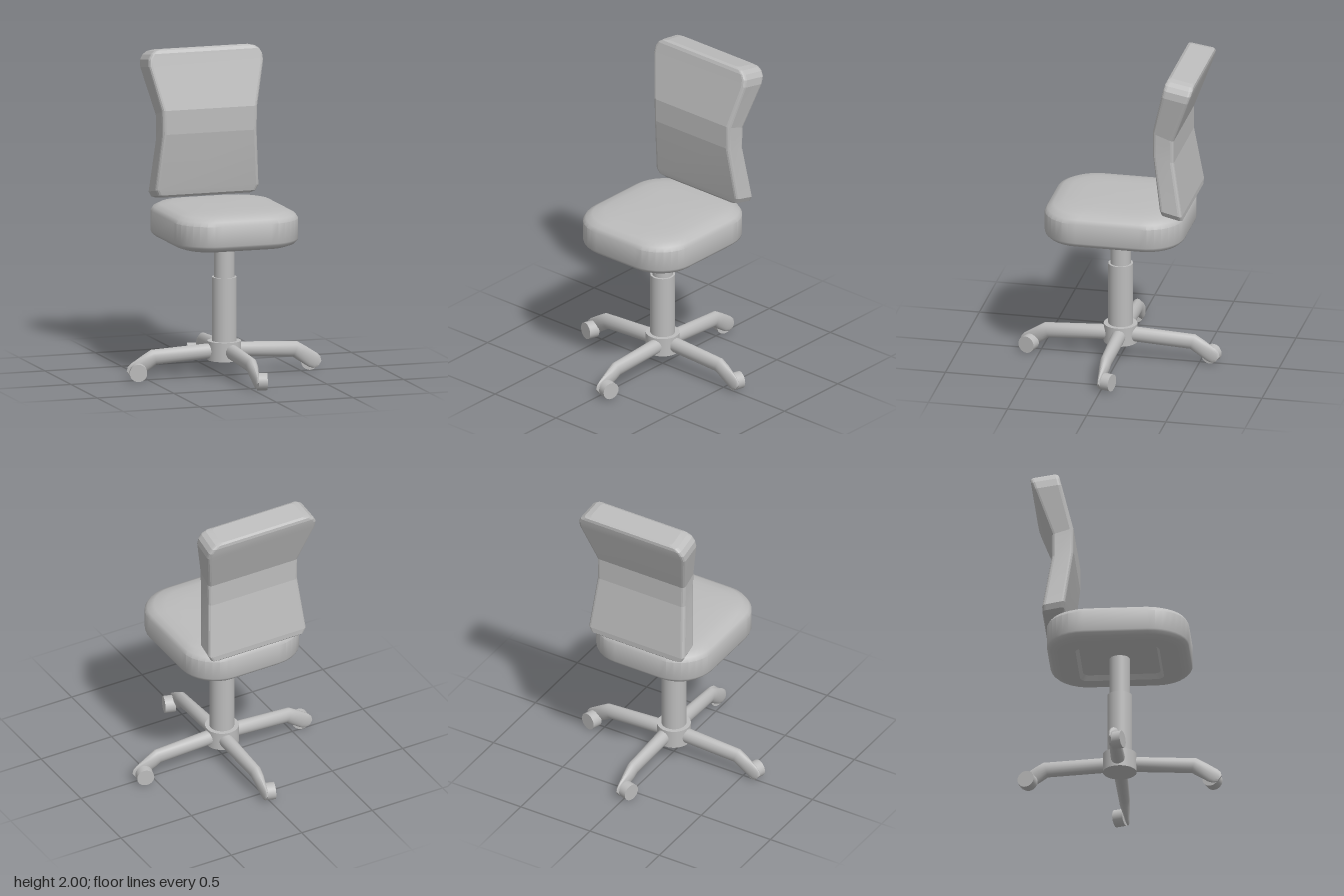
import * as THREE from 'three';
import { toCreasedNormals } from 'three/addons/utils/BufferGeometryUtils.js';

const V = (x, y, z) => new THREE.Vector3(x, y, z);

// Rounded rectangle as [x, z] pairs
function roundRect(hx, hz, r, n) {
  const pts = [];
  [[1, 1], [-1, 1], [-1, -1], [1, -1]].forEach(([sx, sz], q) => {
    for (let i = 0; i <= n; i++) {
      const a = (q + i / n) * Math.PI / 2;
      pts.push([sx * (hx - r) + r * Math.cos(a), sz * (hz - r) + r * Math.sin(a)]);
    }
  });
  return pts;
}

// Skin through equal-sized rings of points, closed at both ends
function loft(rings, crease) {
  const pos = [];
  const tri = (...p) => p.forEach((v) => pos.push(v.x, v.y, v.z));
  const centre = (ring) => ring.reduce((s, p) => s.add(p), V(0, 0, 0)).divideScalar(ring.length);
  const first = rings[0], last = rings[rings.length - 1], n = first.length;
  const c0 = centre(first), c1 = centre(last);
  for (let i = 0; i < n; i++) {
    const j = (i + 1) % n;
    tri(c0, first[i], first[j]);
    for (let k = 0; k < rings.length - 1; k++) {
      const a = rings[k], b = rings[k + 1];
      tri(a[i], b[i], a[j]);
      tri(a[j], b[i], b[j]);
    }
    tri(c1, last[j], last[i]);
  }
  const g = new THREE.BufferGeometry();
  g.setAttribute('position', new THREE.Float32BufferAttribute(pos, 3));
  return toCreasedNormals(g, crease);
}

export function createModel() {
  const model = new THREE.Group();
  model.name = 'officeChair';
  const grey = new THREE.MeshStandardMaterial({ color: 0xbcbcbc });
  grey.name = 'grey';
  const add = (parent, name, geometry) => {
    const m = new THREE.Mesh(geometry, grey);
    m.name = name;
    parent.add(m);
    return m;
  };

  // Seat cushion: half width, half depth, corner radius, height; recessed underside
  const seat = [
    [0.22, 0.24, 0.04, 0.87], [0.24, 0.26, 0.05, 0.84], [0.27, 0.30, 0.08, 0.838],
    [0.33, 0.37, 0.16, 0.845], [0.375, 0.415, 0.21, 0.86], [0.395, 0.435, 0.235, 0.877],
    [0.40, 0.44, 0.24, 0.89], [0.40, 0.44, 0.24, 1.015], [0.385, 0.425, 0.23, 1.04],
    [0.35, 0.39, 0.21, 1.06], [0.29, 0.33, 0.18, 1.071], [0.20, 0.24, 0.14, 1.077],
  ];
  add(model, 'seat', loft(seat.map(([hx, hz, r, y]) =>
    roundRect(hx, hz, r, 8).map(([x, z]) => V(x, y, z))), 0.6));

  // Backrest: front y, front z, back y, back z, half width
  const back = [
    [1.075, -0.335, 1.055, -0.45, 0.295], [1.09, -0.323, 1.063, -0.457, 0.328],
    [1.125, -0.315, 1.095, -0.457, 0.345], [1.48, -0.265, 1.44, -0.40, 0.315],
    [1.63, -0.265, 1.585, -0.40, 0.318], [1.90, -0.334, 1.87, -0.505, 0.383],
    [1.945, -0.345, 1.915, -0.521, 0.380], [1.975, -0.352, 1.945, -0.528, 0.362],
    [1.993, -0.362, 1.965, -0.527, 0.335], [2.0, -0.38, 1.975, -0.515, 0.295],
  ];
  add(model, 'backrest', loft(back.map(([fy, fz, by, bz, w]) => {
    const h = (fz - bz) / 2;
    return roundRect(w, h, 0.022, 3).map(([x, z]) => {
      const t = (z / h + 1) / 2; // 0 at the back, 1 at the front
      return V(x * (1 - 0.025 * t), by + (fy - by) * t, bz + (fz - bz) * t);
    });
  }), 0.13));

  // Central column and hub: radius, bottom, top
  [['upperPost', 0.063, 0.6, 0.872], ['lowerPost', 0.077, 0.2, 0.62], ['hub', 0.105, 0.1, 0.22]]
    .forEach(([name, r, y0, y1]) => {
      add(model, name, new THREE.CylinderGeometry(r, r, y1 - y0, 32)).position.y = (y0 + y1) / 2;
    });

  // Leg: x, y, z, half height, half width, tilt of the cross-section
  const leg = [
    [0.05, 0.162, 0, 0.047, 0.045, 0.04], [0.46, 0.14, 0, 0.05, 0.035, 0.3],
    [0.50, 0.115, 0.001, 0.05, 0.032, 0.58], [0.575, 0.066, 0.008, 0.05, 0.017, 0.6],
    [0.60, 0.050, 0.011, 0.043, 0.012, 0.6], [0.617, 0.039, 0.012, 0.025, 0.008, 0.6],
  ];
  const legGeometry = loft(leg.map(([x, y, z, hh, hw, tilt]) =>
    Array.from({ length: 20 }, (_, i) => {
      const a = i / 20 * Math.PI * 2, u = hh * Math.sin(a);
      return V(x + u * Math.sin(tilt), y + u * Math.cos(tilt), z + hw * Math.cos(a));
    })), 0.6);
  const wheelGeometry = new THREE.CylinderGeometry(0.054, 0.054, 0.066, 24).rotateX(Math.PI / 2);

  // Four legs, each with a caster swivelled slightly off the leg's line
  for (let k = 0; k < 4; k++) {
    const group = new THREE.Group();
    group.name = 'leg' + (k + 1);
    group.rotation.y = k * Math.PI / 2;
    group.position.set(k % 2 ? 0.02 : 0, 0, k % 2 ? 0 : -0.005);
    add(group, 'legArm', legGeometry);
    const wheel = add(group, 'caster', wheelGeometry);
    wheel.position.set(0.57, 0.055, -0.033);
    wheel.rotation.y = -0.3;
    model.add(group);
  }
  return model;
}
